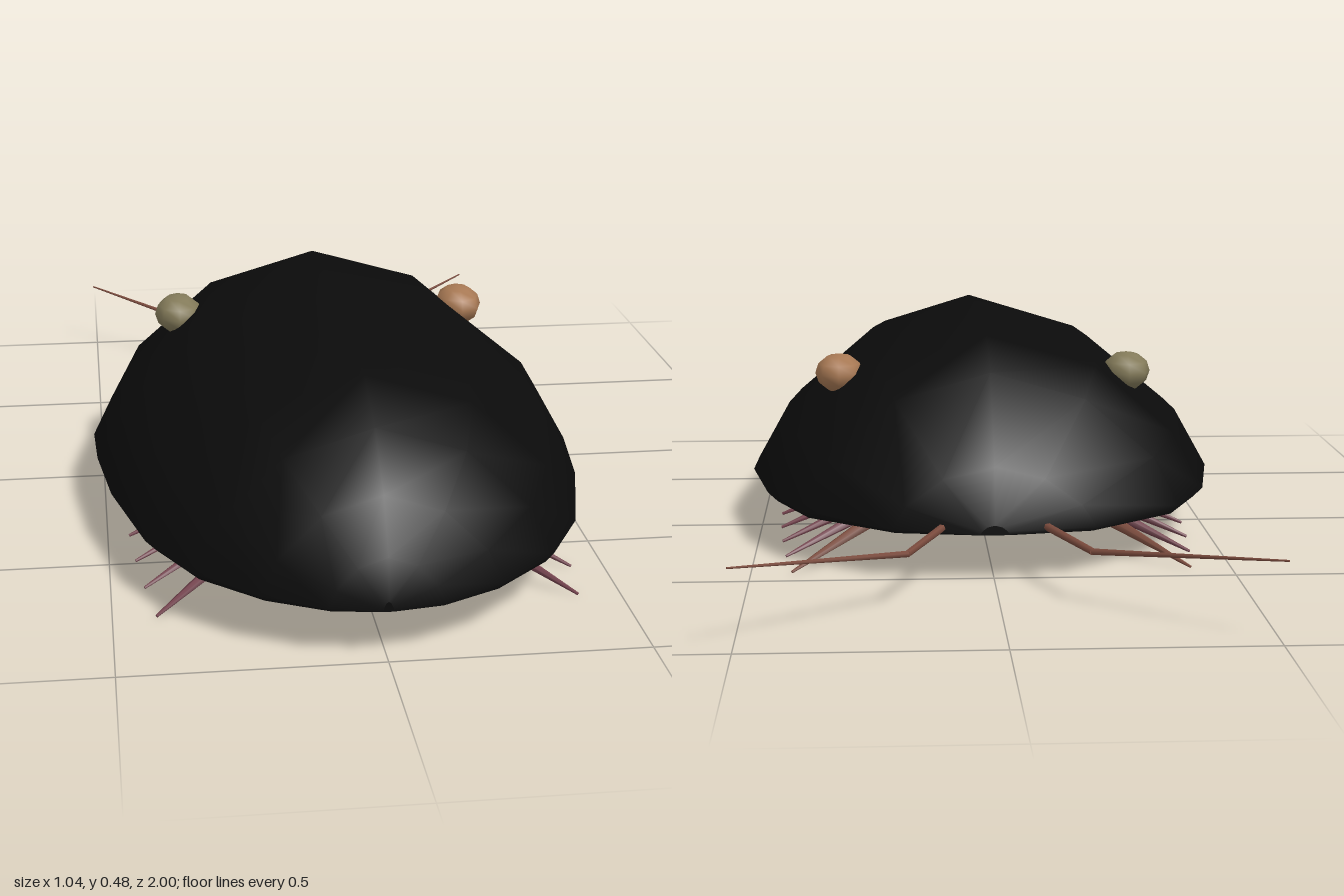
import * as THREE from 'three';

const mat = (name, color) => {
  const m = new THREE.MeshStandardMaterial({ color });
  m.name = name;
  return m;
};

// Shell stations: z, half width, top height
const STATIONS = [
  [-0.535, 0.03, 0.12], [-0.505, 0.21, 0.235], [-0.36, 0.4, 0.405], [-0.2, 0.475, 0.46],
  [0.05, 0.52, 0.477], [0.2, 0.515, 0.474], [0.41, 0.49, 0.467], [0.66, 0.43, 0.445],
  [0.81, 0.35, 0.39], [0.92, 0.23, 0.3], [0.98, 0.11, 0.2], [0.995, 0.01, 0.12],
];
// Half of the shell's arch: fraction of half width, fraction of height
const ARCH = [[0.955, 0], [1, 0.055], [0.86, 0.4], [0.5, 0.81], [0, 1]];
const FLOOR = 0.1;

// Builds a surface from rows of points of equal length
function loft(rows) {
  const n = rows[0].length, index = [];
  for (let i = 0; i < rows.length - 1; i++) {
    for (let j = 0; j < n - 1; j++) {
      const a = i * n + j, b = a + n;
      index.push(a, b, a + 1, b, b + 1, a + 1);
    }
  }
  const g = new THREE.BufferGeometry();
  g.setAttribute('position', new THREE.Float32BufferAttribute(rows.flat(2), 3));
  g.setIndex(index);
  g.computeVertexNormals();
  return g;
}

// Tapered limb segment between two points
function segment(name, a, b, ra, rb, material) {
  const dir = new THREE.Vector3().subVectors(b, a);
  const mesh = new THREE.Mesh(new THREE.CylinderGeometry(rb, ra, dir.length(), 6), material);
  mesh.position.addVectors(a, b).multiplyScalar(0.5);
  mesh.quaternion.setFromUnitVectors(new THREE.Vector3(0, 1, 0), dir.normalize());
  mesh.name = name;
  return mesh;
}

export function createModel() {
  const model = new THREE.Group();
  model.name = 'beetle';
  const black = mat('shell black', 0x0b0b0b);
  const plum = mat('leg plum', 0x74424d);
  const brown = mat('antenna brown', 0x7c4c3e);
  const olive = mat('eye olive', 0x847b5a);
  const tan = mat('eye tan', 0xa87954);
  const add = (name, geometry, material) => {
    const mesh = new THREE.Mesh(geometry, material);
    mesh.name = name;
    model.add(mesh);
    return mesh;
  };

  // Domed shell, from the right rim over the top to the left rim
  const profile = [
    ...ARCH.map(([u, v]) => [-u, v]),
    ...ARCH.slice(0, -1).reverse(),
  ];
  add('shell', loft(STATIONS.map(([z, w, top]) =>
    profile.map(([u, v]) => [u * w, FLOOR + v * (top - FLOOR), z]))), black);

  // Flat underside with its own hard edge
  add('underside', loft(STATIONS.map(([z, w]) =>
    [[0.955 * w, FLOOR, z], [-0.955 * w, FLOOR, z]])), black);

  // Small caps closing the blunt ends of the shell
  for (const [name, station, turn] of [['rearCap', STATIONS[0], Math.PI], ['frontCap', STATIONS.at(-1), 0]]) {
    const [z, w, top] = station;
    const shape = new THREE.Shape(profile.map(([u, v]) => new THREE.Vector2(u * w, FLOOR + v * (top - FLOOR))));
    const cap = add(name, new THREE.ShapeGeometry(shape), black);
    cap.position.z = z;
    cap.rotation.y = turn;
  }

  for (const side of [1, -1]) {
    const sideName = side > 0 ? 'left' : 'right';
    const P = (x, y, z) => new THREE.Vector3(side * x, y, z);

    // Eyes
    const eye = add(sideName + 'Eye', new THREE.SphereGeometry(1, 8, 6), side > 0 ? tan : olive);
    eye.scale.set(0.053, 0.043, 0.07);
    eye.position.set(side * 0.32, 0.361, -0.065);

    // Ten splayed legs, fanning out from the middle
    for (let i = 0; i < 10; i++) {
      const t = (i - 4.5) / 4.5;
      const leg = new THREE.Group();
      leg.name = sideName + 'Leg' + (i + 1);
      const root = P(0.1, 0.113, 0.16 - 0.4 * t);
      const knee = P(0.245, 0.085, 0.16 - 0.47 * t);
      const tip = P(0.46 - 0.045 * t * t, 0.004, 0.16 - 0.6 * t);
      const material = i === 9 ? brown : plum;
      leg.add(segment('upperLeg', root, knee, 0.024, 0.016, material));
      leg.add(segment('lowerLeg', knee, tip, 0.016, 0.003, material));
      model.add(leg);
    }

    // Bent antenna
    const antenna = new THREE.Group();
    antenna.name = sideName + 'Antenna';
    const base = P(0.07, 0.115, -0.42), bend = P(0.18, 0.108, -0.71), end = P(0.505, 0.16, -1);
    antenna.add(segment('antennaBase', base, bend, 0.009, 0.007, brown));
    antenna.add(segment('antennaTip', bend, end, 0.007, 0.002, brown));
    model.add(antenna);
  }
  return model;
}
